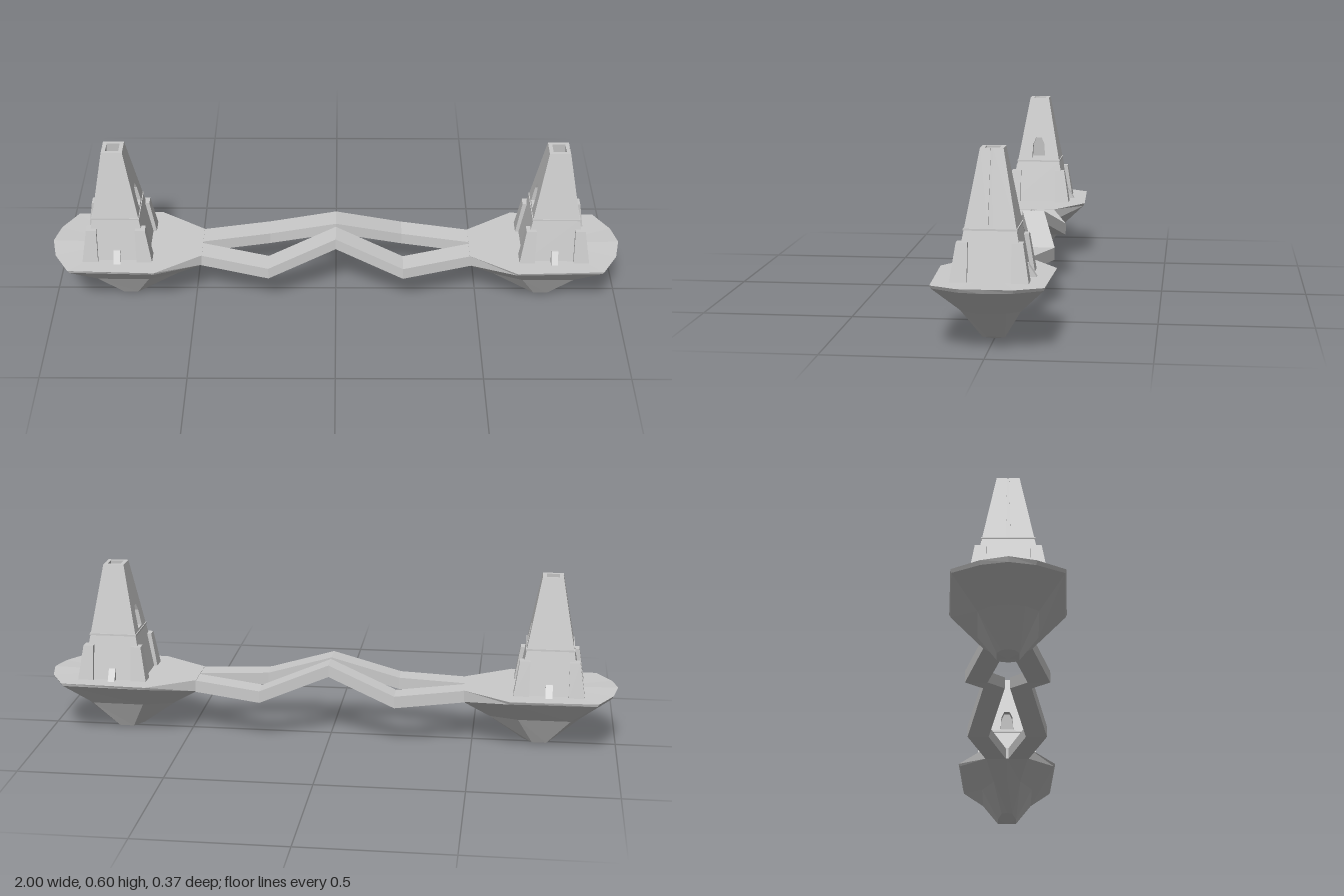
import * as THREE from 'three';

const grey = new THREE.MeshStandardMaterial({ color: 0xcccccc, flatShading: true });

function addMesh(parent, geometry, name) {
  const mesh = new THREE.Mesh(geometry, grey);
  mesh.name = name;
  parent.add(mesh);
  return mesh;
}

// Closed solid through rings of [x, y, z]; each ring runs counterclockwise seen from the first ring's end
function loft(rings, firstCentre, lastCentre) {
  const pos = [];
  const tri = (a, b, c) => pos.push(...a, ...b, ...c);
  const n = rings[0].length;
  const centre = (ring) => [0, 1, 2].map((k) => ring.reduce((s, p) => s + p[k], 0) / n);
  const last = rings[rings.length - 1];
  const c0 = firstCentre || centre(rings[0]);
  const c1 = lastCentre || centre(last);
  for (let i = 0; i < n; i++) {
    const j = (i + 1) % n;
    tri(c0, rings[0][i], rings[0][j]);
    for (let r = 0; r + 1 < rings.length; r++) {
      const a = rings[r], b = rings[r + 1];
      tri(a[i], b[i], b[j]);
      tri(a[i], b[j], a[j]);
    }
    tri(c1, last[j], last[i]);
  }
  const g = new THREE.BufferGeometry();
  g.setAttribute('position', new THREE.Float32BufferAttribute(pos, 3));
  g.computeVertexNormals();
  return g;
}

// Move every vertex by a rule
function reshape(geometry, rule) {
  const g = geometry.index ? geometry.toNonIndexed() : geometry;
  const p = g.attributes.position;
  for (let i = 0; i < p.count; i++) {
    p.setXYZ(i, ...rule(p.getX(i), p.getY(i), p.getZ(i)));
  }
  g.computeVertexNormals();
  return g;
}

// Tower walls lean inwards: half width at height y
const halfWidth = (y) => 0.036 + (0.603 - y) * 0.183;
const taper = (g) => reshape(g, (x, y, z) => [x * halfWidth(y), y, z * halfWidth(y)]);
const polygon = (pts) => new THREE.Shape(pts.map(([x, y]) => new THREE.Vector2(x, y)));

// Half an island ring, mirrored over z = 0
const mirrorRing = (half) => [
  ...half.map(([x, y, z]) => [x, y, -z]),
  ...half.slice(1, -1).reverse(),
];

function makeIsland() {
  const rings = [
    [[1, 0.21, 0], [0.982, 0.206, 0.085], [0.93, 0.204, 0.173], [0.63, 0.204, 0.185], [0.47, 0.204, 0.08], [0.47, 0.204, 0]],
    [[0.992, 0.195, 0], [0.975, 0.194, 0.083], [0.925, 0.194, 0.17], [0.63, 0.194, 0.18], [0.47, 0.162, 0.078], [0.47, 0.162, 0]],
    [[0.885, 0.11, 0], [0.875, 0.11, 0.05], [0.84, 0.11, 0.093], [0.66, 0.11, 0.095], [0.56, 0.105, 0.05], [0.55, 0.105, 0]],
    [[0.775, 0.014, 0], [0.773, 0.012, 0.02], [0.76, 0.008, 0.035], [0.71, 0.008, 0.035], [0.675, 0.018, 0.02], [0.67, 0.02, 0]],
  ];
  return loft(rings.map(mirrorRing), [0.76, 0.204, 0], [0.74, 0, 0]);
}

function makeTower() {
  const tower = new THREE.Group();
  tower.name = 'tower';
  tower.position.x = 0.762;

  // Solid lower storey
  addMesh(tower, taper(new THREE.BoxGeometry(2, 0.165, 2).translate(0, 0.2775, 0)), 'towerBase');

  // Hollow shaft: three walls with a narrow groove on the outer side
  const w = 0.62;
  const walls = polygon([
    [-w, -1], [1, -1], [1, -0.09], [0.9, -0.09], [0.9, 0.09], [1, 0.09],
    [1, 1], [-w, 1], [-w, w], [w, w], [w, -w], [-w, -w],
  ]);
  const shaft = new THREE.ExtrudeGeometry(walls, { depth: 0.243, bevelEnabled: false });
  addMesh(tower, taper(shaft.rotateX(-Math.PI / 2).translate(0, 0.36, 0)), 'towerShaft');

  // Wall facing the bridge, with an arched window
  const wall = polygon([[-1, 0.36], [1, 0.36], [1, 0.603], [-1, 0.603]]);
  wall.holes.push(polygon([[-0.32, 0.37], [-0.32, 0.425], [-0.17, 0.45], [0.17, 0.45], [0.32, 0.425], [0.32, 0.37]]));
  const panel = new THREE.ExtrudeGeometry(wall, { depth: 1 - w, bevelEnabled: false });
  addMesh(tower, taper(panel.rotateY(Math.PI / 2).translate(-1, 0, 0)), 'windowWall');

  // Thin ledge between the storeys
  addMesh(tower, new THREE.BoxGeometry(0.166, 0.006, 0.166).translate(0, 0.36, 0), 'ledge');

  // Corner buttresses, splayed outwards at the foot
  for (const sx of [-1, 1]) for (const sz of [-1, 1]) {
    const block = reshape(new THREE.BoxGeometry(1, 1, 1), (x, y, z) => {
      const outer = y > 0 ? 0.102 : 0.122;
      return [sx * (x * sx > 0 ? outer : 0.067), y > 0 ? 0.324 : 0.2, sz * (z * sz > 0 ? outer : 0.067)];
    });
    addMesh(tower, block, 'cornerButtress');
  }

  // Small sloping wedges at the middle of the front and back walls
  for (const s of [-1, 1]) {
    const wedge = reshape(new THREE.BoxGeometry(1, 1, 1), (x, y, z) => [
      Math.sign(x) * 0.012,
      y > 0 ? 0.245 : 0.2,
      s * (z * s < 0 ? 0.08 : y > 0 ? 0.108 : 0.137),
    ]);
    addMesh(tower, wedge, 'footWedge');
  }
  return tower;
}

// One zigzag strand: stations of [x, centre z, top y]
function makeStrand(side) {
  const stations = [
    [0.48, 0.04, 0.203], [0.235, 0.105, 0.193], [0, 0.047, 0.278], [-0.235, 0.105, 0.193], [-0.48, 0.04, 0.203],
  ];
  return loft(stations.map(([x, zc, top]) => {
    const z = zc * side, h = 0.038, low = top - 0.042;
    return [[x, low, z - h], [x, top, z - h], [x, top, z + h], [x, low, z + h]];
  }));
}

export function createModel() {
  const model = new THREE.Group();
  model.name = 'twinTowerIslands';

  // Two identical islands, turned half round from each other
  for (const [name, turn] of [['leftIsland', 0], ['rightIsland', Math.PI]]) {
    const half = new THREE.Group();
    half.name = name;
    half.rotation.y = turn;
    addMesh(half, makeIsland(), 'rock');
    half.add(makeTower());
    model.add(half);
  }

  addMesh(model, makeStrand(1), 'frontBridge');
  addMesh(model, makeStrand(-1), 'backBridge');
  return model;
}
